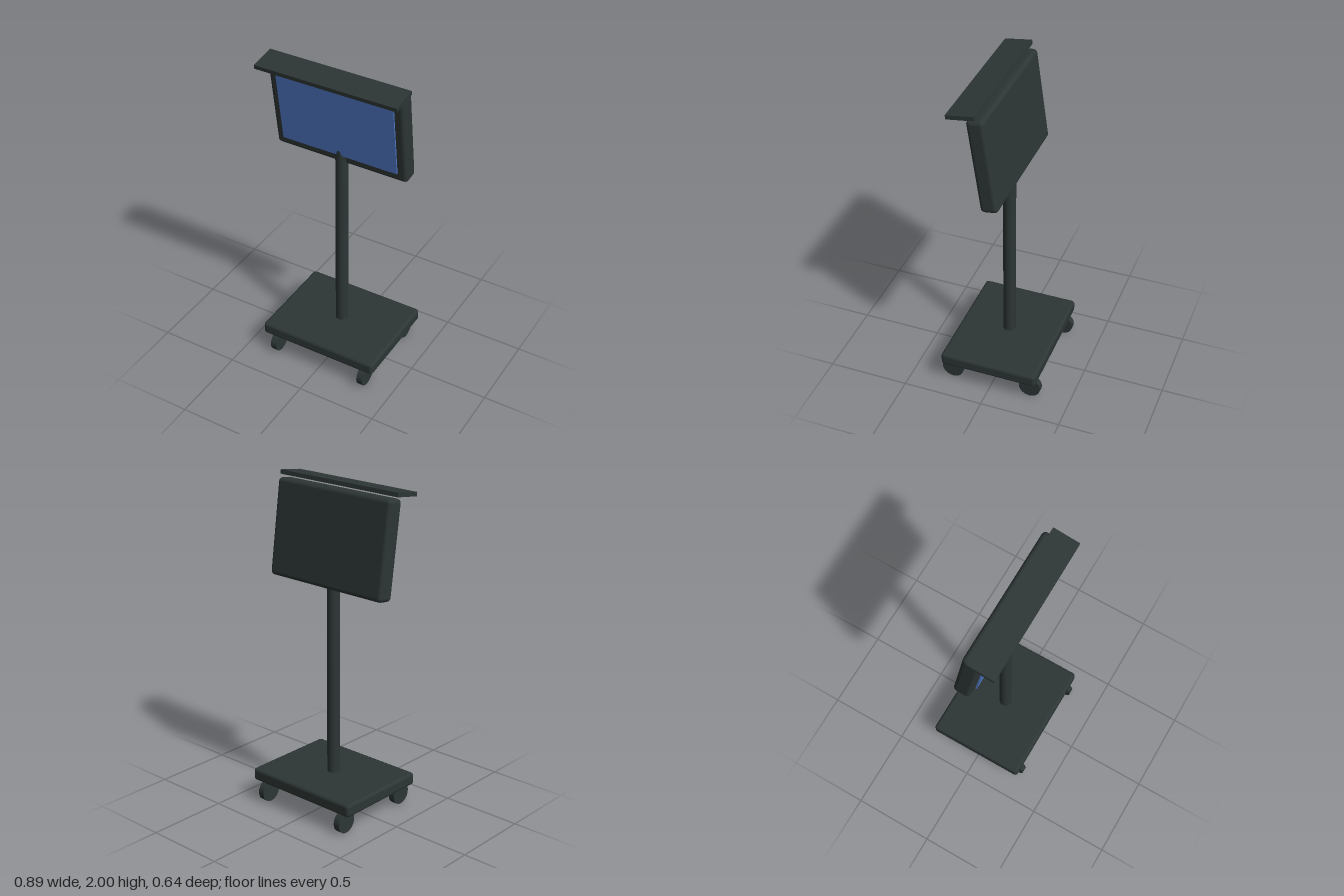
import * as THREE from 'three';
import { RoundedBoxGeometry } from 'three/addons/geometries/RoundedBoxGeometry.js';

const TILT = 0.14; // forward lean of the display and visor

export function createModel() {
  const root = new THREE.Group();
  root.name = 'displayStand';

  const frame = new THREE.MeshStandardMaterial({ color: 0x2d3635 });
  frame.name = 'dark frame';
  const blue = new THREE.MeshStandardMaterial({ color: 0x4f78c4 });
  blue.name = 'screen blue';

  const add = (parent, name, geometry, material, x, y, z) => {
    const mesh = new THREE.Mesh(geometry, material);
    mesh.name = name;
    mesh.position.set(x, y, z);
    parent.add(mesh);
    return mesh;
  };

  // Wheeled base
  add(root, 'base', new RoundedBoxGeometry(0.774, 0.08, 0.61, 3, 0.02), frame, 0, 0.17, 0);
  const wheelGeometry = new THREE.CylinderGeometry(0.068, 0.068, 0.04, 24).rotateZ(Math.PI / 2);
  for (const [side, x] of [['Left', 0.308], ['Right', -0.308]]) {
    for (const [end, z] of [['front', 0.251], ['back', -0.251]]) {
      add(root, `${end}${side}Wheel`, wheelGeometry, frame, x, 0.068, z);
    }
  }

  // Pole, running up into the display housing
  add(root, 'pole', new THREE.CylinderGeometry(0.0385, 0.0385, 1.4, 32), frame, 0, 0.9, 0);

  // Display leaning forward at the top
  const display = new THREE.Group();
  display.name = 'display';
  display.position.set(0, 1.672, 0);
  display.rotation.x = TILT;
  root.add(display);
  add(display, 'housing', new RoundedBoxGeometry(0.856, 0.58, 0.105, 3, 0.025), frame, 0, 0, 0);
  add(display, 'screen', new THREE.BoxGeometry(0.745, 0.472, 0.0095), blue, 0, 0.012, 0.061);

  // Sun visor floating above the screen
  const visor = add(root, 'visor', new THREE.BoxGeometry(0.89, 0.025, 0.166), frame, 0, 1.976, 0.111);
  visor.rotation.x = TILT;

  return root;
}
